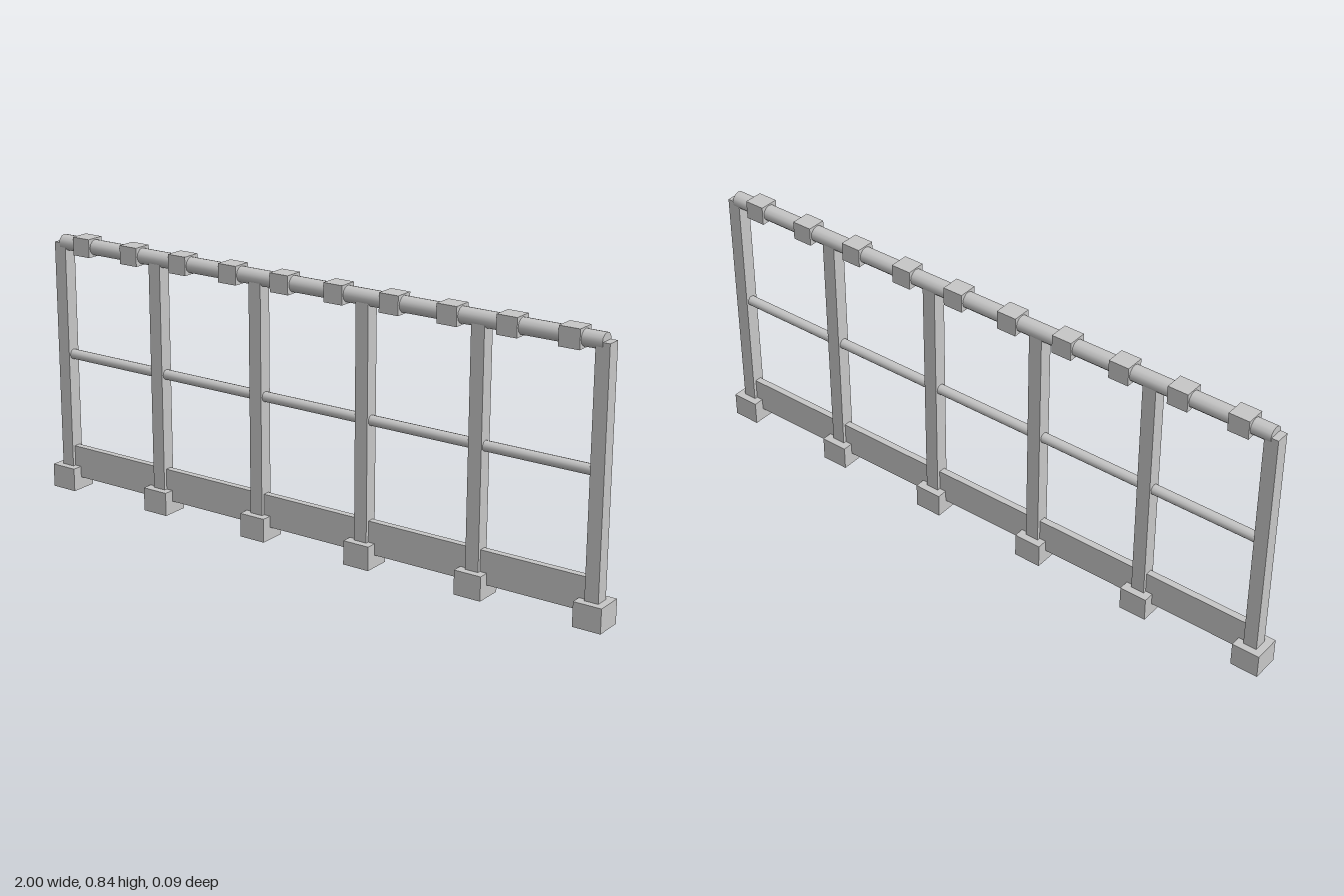
import * as THREE from 'three';

const SPACING = 0.382;   // distance between posts
const HALF = 0.955;      // centre of the end posts
const RAIL_Y = 0.809;

export function createModel() {
  const group = new THREE.Group();
  group.name = 'guardRail';
  const greyMetal = new THREE.MeshStandardMaterial({ color: 0xc8c8c8 });
  greyMetal.name = 'greyMetal';

  function add(name, geometry, x, y) {
    const mesh = new THREE.Mesh(geometry, greyMetal);
    mesh.name = name;
    mesh.position.set(x, y, 0);
    group.add(mesh);
    return mesh;
  }

  // Upright posts standing on square feet
  const footGeometry = new THREE.BoxGeometry(0.088, 0.075, 0.088);
  const postGeometry = new THREE.BoxGeometry(0.043, 0.77, 0.043);
  for (let i = 0; i < 6; i++) {
    const x = -HALF + i * SPACING;
    add('foot', footGeometry, x, 0.0375);
    add('post', postGeometry, x, 0.425);
  }

  // Toe board along the bottom
  add('toeBoard', new THREE.BoxGeometry(1.87, 0.102, 0.022), 0, 0.09);

  // Round rails running along x
  function addRail(name, radius, length, y) {
    const geometry = new THREE.CylinderGeometry(radius, radius, length, 12);
    geometry.rotateZ(Math.PI / 2);
    add(name, geometry, 0, y);
  }
  addRail('middleRail', 0.016, 1.87, 0.447);
  addRail('topRail', 0.025, 1.91, RAIL_Y);

  // Clamps evenly spaced on the top rail, two per bay
  const clampGeometry = new THREE.BoxGeometry(0.065, 0.058, 0.06);
  for (let i = 0; i < 10; i++) {
    add('clamp', clampGeometry, (i - 4.5) * SPACING / 2, RAIL_Y);
  }

  return group;
}
